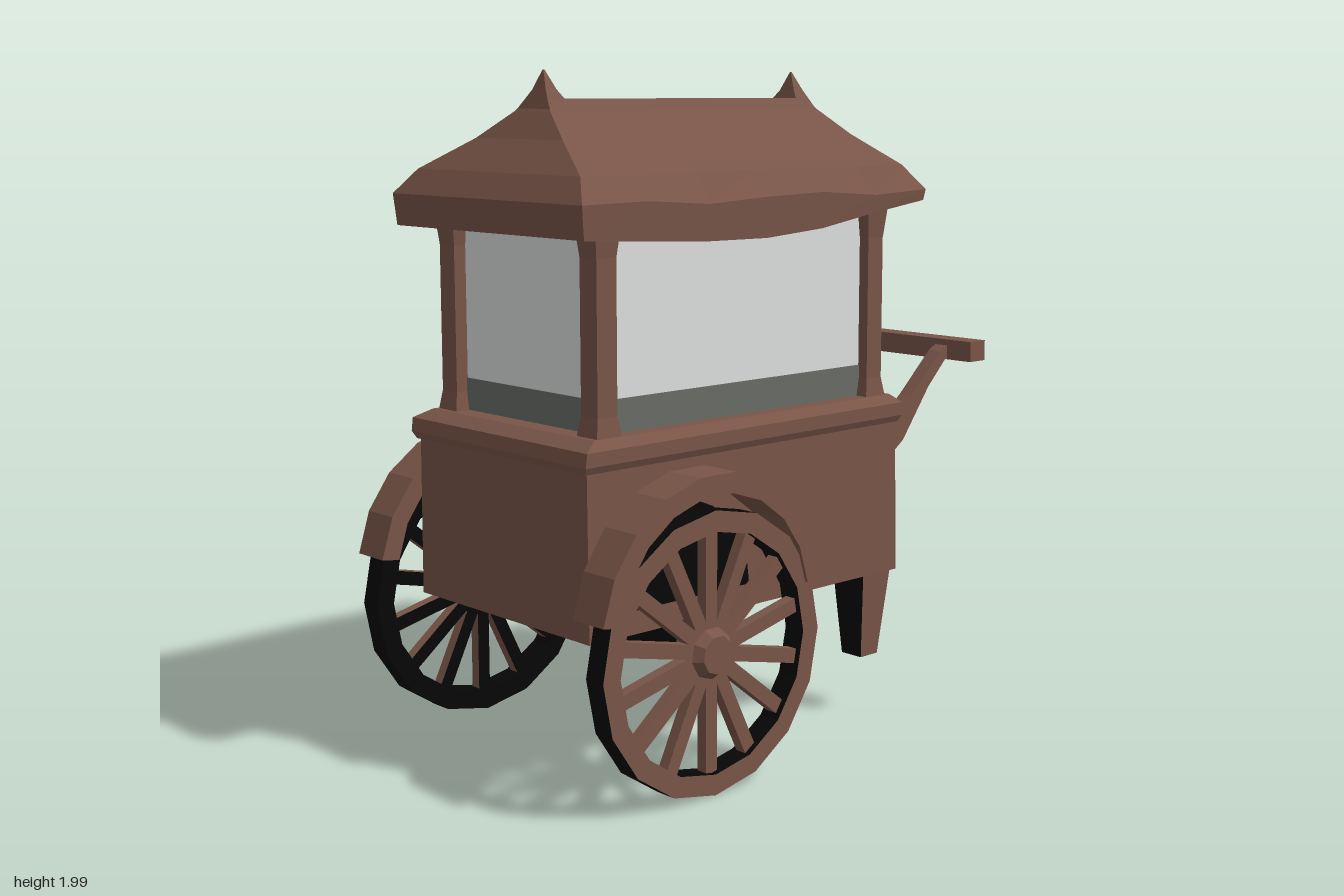
import * as THREE from 'three';

const wood = new THREE.MeshStandardMaterial({ color: 0x795548 });
wood.name = 'brown wood';
const black = new THREE.MeshStandardMaterial({ color: 0x060606 });
black.name = 'black underside';
const glass = new THREE.MeshStandardMaterial({ color: 0xdcdfdd });
glass.name = 'pale glass';
const band = new THREE.MeshStandardMaterial({ color: 0x686c66 });
band.name = 'dark grey band';

function add(parent, name, geometry, material, x = 0, y = 0, z = 0) {
  const mesh = new THREE.Mesh(geometry, material);
  mesh.name = name;
  mesh.position.set(x, y, z);
  parent.add(mesh);
  return mesh;
}

function flat(geometry) {
  const g = geometry.index ? geometry.toNonIndexed() : geometry;
  g.computeVertexNormals();
  return g;
}

function box(parent, name, material, x0, x1, y0, y1, z0, z1) {
  const g = new THREE.BoxGeometry(x1 - x0, y1 - y0, z1 - z0);
  return add(parent, name, g, material, (x0 + x1) / 2, (y0 + y1) / 2, (z0 + z1) / 2);
}

// Lofts rectangles [x0, x1, z0, z1, y] from bottom to top.
// Sides are 0 front, 1 left, 2 back, 3 right, 4 bottom; those in dark use the second material.
function loft(rects, dark = [4], cuts = 1, shiftY = () => 0) {
  const lists = [[], []];
  const tri = (side, ...p) => lists[dark.includes(side) ? 1 : 0].push(...p.flat());
  const loops = rects.map(([x0, x1, z0, z1, y], level) => {
    const c = [[x0, z1], [x1, z1], [x1, z0], [x0, z0]];
    const loop = [];
    for (let s = 0; s < 4; s++) {
      for (let i = 0; i < cuts; i++) {
        const a = c[s], b = c[(s + 1) % 4], t = i / cuts;
        const x = a[0] + (b[0] - a[0]) * t, z = a[1] + (b[1] - a[1]) * t;
        loop.push([x, y + shiftY(level, x, z), z]);
      }
    }
    return loop;
  });
  const n = 4 * cuts;
  for (let k = 0; k + 1 < loops.length; k++) {
    for (let i = 0; i < n; i++) {
      const j = (i + 1) % n, lo = loops[k], hi = loops[k + 1], side = Math.floor(i / cuts);
      tri(side, lo[i], lo[j], hi[j]);
      tri(side, lo[i], hi[j], hi[i]);
    }
  }
  const first = loops[0], last = loops[loops.length - 1];
  for (let i = 1; i + 1 < n; i++) {
    tri(4, first[0], first[i + 1], first[i]);
    tri(5, last[0], last[i], last[i + 1]);
  }
  const g = new THREE.BufferGeometry();
  g.setAttribute('position', new THREE.Float32BufferAttribute(lists.flat(), 3));
  g.addGroup(0, lists[0].length / 3, 0);
  g.addGroup(lists[0].length / 3, lists[1].length / 3, 1);
  g.computeVertexNormals();
  return g;
}

function extrude(points, depth, hole) {
  const shape = new THREE.Shape(points.map(p => new THREE.Vector2(...p)));
  if (hole) shape.holes.push(new THREE.Path(hole.map(p => new THREE.Vector2(...p))));
  return flat(new THREE.ExtrudeGeometry(shape, { depth, bevelEnabled: false }));
}

function arc(r, from, to, steps) {
  return Array.from({ length: steps + 1 }, (_, i) => {
    const a = from + (to - from) * i / steps;
    return [r * Math.cos(a), r * Math.sin(a)];
  });
}

// Spoked wheel facing +z: brown face, black tread and back
function createWheel() {
  const wheel = new THREE.Group();
  wheel.name = 'wheel';
  const sides = 16, end = Math.PI * 2 * (sides - 1) / sides;
  const outer = arc(0.405, 0, end, sides - 1), inner = arc(0.345, 0, end, sides - 1);
  add(wheel, 'rim', extrude(outer, 0.05, inner), [wood, black], 0, 0, -0.01);
  add(wheel, 'rimBack', extrude(outer, 0.02, inner), black, 0, 0, -0.03);
  const spokeSkin = [wood, wood, wood, wood, wood, black];
  for (let i = 0; i < 14; i++) {
    const a = (i + 0.5) / 14 * Math.PI * 2;
    const g = new THREE.BoxGeometry(0.29, 0.042, 0.035);
    const spoke = add(wheel, 'spoke', g, spokeSkin, 0.215 * Math.cos(a), 0.215 * Math.sin(a), 0.005);
    spoke.rotation.z = a;
  }
  const hub = flat(new THREE.CylinderGeometry(0.055, 0.105, 0.07, 9));
  add(wheel, 'hub', hub, [wood, wood, black], 0, 0, 0.015).rotation.x = Math.PI / 2;
  return wheel;
}

export function createModel() {
  const cart = new THREE.Group();
  cart.name = 'vendingCart';
  const skin = [wood, black];

  // Chest and counter
  add(cart, 'chest', loft([[-0.79, 0.46, -0.39, 0.385, 0.46], [-0.79, 0.45, -0.385, 0.38, 0.95]]), skin);
  add(cart, 'counter', loft([
    [-0.80, 0.455, -0.39, 0.385, 0.93], [-0.805, 0.465, -0.41, 0.395, 0.95],
    [-0.80, 0.465, -0.41, 0.395, 0.99], [-0.75, 0.44, -0.375, 0.365, 1.015],
  ], []), skin);

  // Glass cabinet with a dark lower band
  box(cart, 'glassCabinet', glass, -0.685, 0.38, 1.01, 1.585, -0.325, 0.315);
  box(cart, 'lowerBand', band, -0.688, 0.383, 1.01, 1.11, -0.328, 0.318);

  // Corner posts, slightly flared at both ends
  for (const [x, x1] of [[-0.725, -0.655], [0.35, 0.415]]) {
    for (const [z, z1] of [[0.28, 0.35], [-0.36, -0.29]]) {
      add(cart, 'cornerPost', loft([
        [x - 0.012, x1 + 0.012, z - 0.01, z1 + 0.01, 1.0], [x, x1, z, z1, 1.07],
        [x, x1, z, z1, 1.5], [x - 0.012, x1 + 0.012, z - 0.01, z1 + 0.01, 1.6],
      ], []), skin);
    }
  }

  // Curved hipped roof with a wavy eave
  const wave = (level, x, z) => {
    if (level > 1) return 0;
    const lift = z > 0 ? Math.max(0, x) * 0.1 : 0;
    return level === 0 ? -0.015 * Math.cos((x + 0.22) * 4) + lift : 0.01 * Math.cos(x * 9);
  };
  add(cart, 'roof', loft([
    [-0.82, 0.525, -0.435, 0.415, 1.545], [-0.83, 0.53, -0.44, 0.42, 1.645],
    [-0.785, 0.485, -0.375, 0.36, 1.72], [-0.705, 0.44, -0.20, 0.19, 1.81],
    [-0.655, 0.41, -0.085, 0.075, 1.885], [-0.63, 0.385, -0.06, 0.045, 1.92],
  ], [4], 6, wave), skin);
  for (const [x0, x1, tip] of [[-0.652, -0.56, -0.617], [0.33, 0.41, 0.367]]) {
    add(cart, 'roofPeak', loft([
      [x0, x1, -0.085, 0.07, 1.885], [tip - 0.017, tip + 0.022, -0.03, 0.03, 1.945],
      [tip - 0.002, tip + 0.002, -0.002, 0.002, 2.0],
    ], []), skin);
  }

  // Tapered legs, dark on the inner faces
  for (const s of [1, -1]) {
    const z = (a, b) => s > 0 ? [a, b] : [-b, -a];
    add(cart, 'leg', loft([
      [0.335, 0.41, ...z(0.275, 0.355), 0.19], [0.325, 0.45, ...z(0.24, 0.37), 0.47],
    ], [4, 3, s > 0 ? 2 : 0]), skin);
  }

  // Push handle
  const armShape = [[0.45, 0.6], [0.5, 0.77], [0.6, 0.84], [0.72, 1.0], [0.8, 1.08],
    [0.85, 1.09], [0.84, 1.14], [0.78, 1.11], [0.64, 0.98], [0.54, 0.9], [0.45, 0.85]];
  for (const z of [0.235, -0.295]) {
    add(cart, 'handleArm', extrude(armShape, 0.05), wood, 0, 0, z);
  }
  box(cart, 'handleBar', wood, 0.807, 0.88, 1.08, 1.145, -0.39, 0.38).rotation.y = 0.015;

  // Axle and wheels with mudguards
  box(cart, 'axle', black, -0.53, -0.44, 0.38, 0.465, -0.51, 0.51);
  const from = 0.14, to = Math.PI - 0.14;
  const guard = [...arc(0.415, from, to, 9), ...arc(0.355, to, from, 9)];
  const shade = new THREE.CircleGeometry(0.29, 12, 0, Math.PI);
  for (const s of [1, -1]) {
    const side = new THREE.Group();
    side.name = s > 0 ? 'frontWheel' : 'backWheel';
    side.position.set(-0.485, 0, 0);
    side.rotation.y = s > 0 ? 0 : Math.PI;
    const wheel = createWheel();
    wheel.position.set(0, 0.412, 0.52);
    side.add(wheel);
    add(side, 'mudguard', extrude(guard, 0.125), wood, 0, 0.507, 0.445);
    add(side, 'wheelArch', shade, black, 0, 0.53, 0.394);
    cart.add(side);
  }
  return cart;
}
